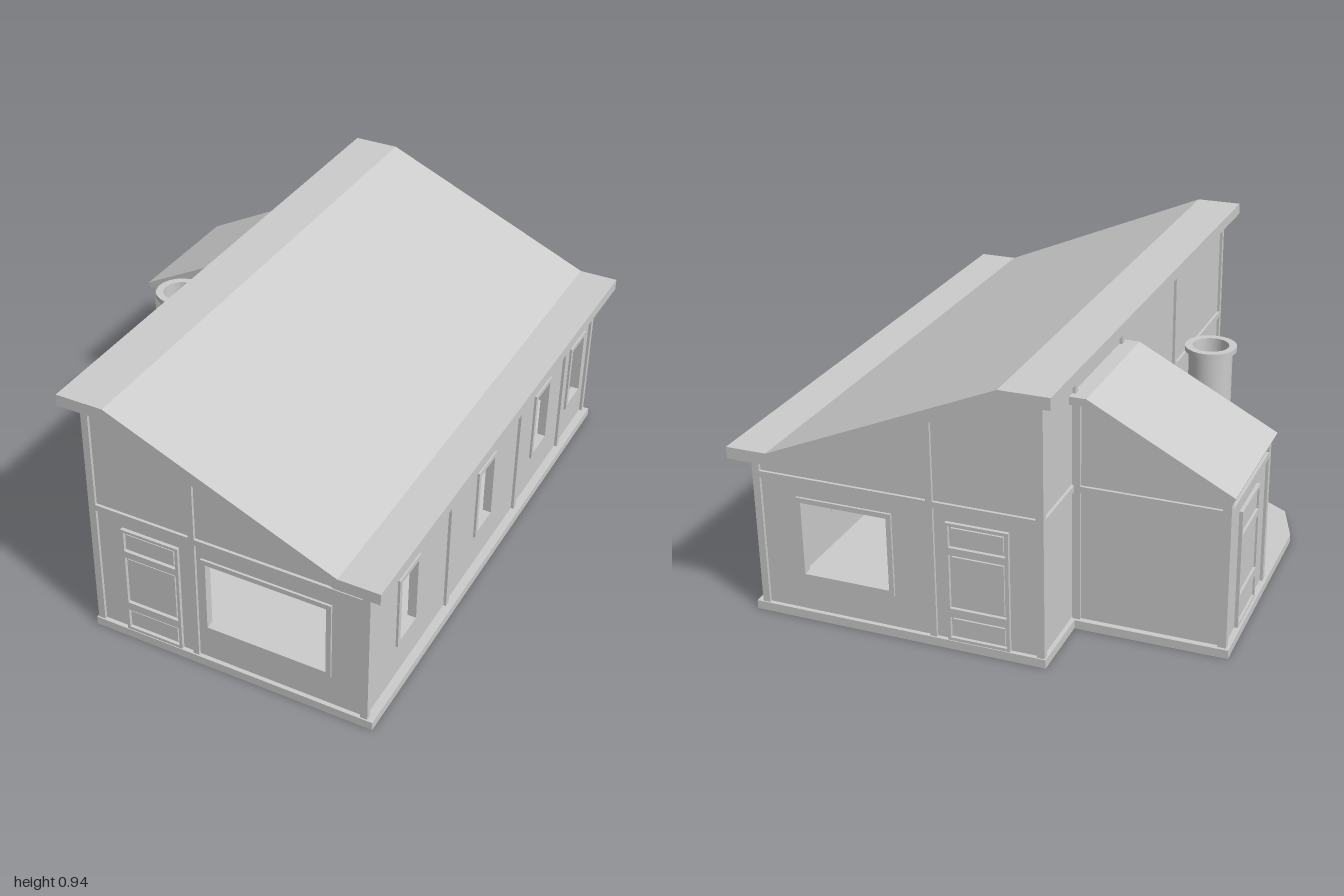
import * as THREE from 'three';
import { toCreasedNormals } from 'three/addons/utils/BufferGeometryUtils.js';

const mat = new THREE.MeshStandardMaterial({ color: 0xcccccc });
const matOpen = new THREE.MeshStandardMaterial({ color: 0xcccccc, side: THREE.DoubleSide });

const add = (parent, name, geo, m = mat) => {
  const mesh = new THREE.Mesh(geo, m);
  mesh.name = name;
  parent.add(mesh);
  return mesh;
};
const group = (parent, name) => {
  const g = new THREE.Group();
  g.name = name;
  parent.add(g);
  return g;
};
const toPath = (pts, C = THREE.Shape) => new C(pts.map(([x, y]) => new THREE.Vector2(x, y)));
const rect = ([u0, u1, y0, y1]) => [[u0, y0], [u1, y0], [u1, y1], [u0, y1]];

// Outline with rectangular holes, extruded between two depths
function slab(pts, z0, z1, holes = []) {
  const s = toPath(pts);
  holes.forEach(h => s.holes.push(toPath(rect(h), THREE.Path)));
  return new THREE.ExtrudeGeometry(s, { depth: z1 - z0, bevelEnabled: false }).translate(0, 0, z0);
}

// Raised timber strip on a wall whose outer face is local z = 0
const bar = (wall, name, r, out = 0.01) => add(wall, name, slab(rect(r), -0.01, out));

// Frame ring around an opening
function frame(wall, name, [u0, u1, y0, y1], w = 0.017) {
  add(wall, name, slab(rect([u0, u1, y0, y1]), -0.022, 0.008, [[u0 + w, u1 - w, y0 + w, y1 - w]]));
}

// Panelled door centred on u
function door(wall, u) {
  const d = group(wall, 'door');
  add(d, 'doorLeaf', slab(rect([u - 0.105, u + 0.105, 0.03, 0.445]), 0, 0.012, [
    [u - 0.095, u + 0.095, 0.04, 0.115], [u - 0.095, u + 0.095, 0.145, 0.335], [u - 0.095, u + 0.095, 0.36, 0.435]]));
  [[0.048, 0.107], [0.153, 0.327], [0.368, 0.427]].forEach(([a, b]) =>
    bar(d, 'doorPanel', [u - 0.087, u + 0.087, a, b], 0.007));
}

// Wall built in its own plane, then turned to face outward
function makeWall(parent, name, pts, windows, pos, turn) {
  const w = group(parent, name);
  add(w, name + 'Panel', slab(pts, -0.02, 0, windows.map(([a, b, c, d]) => [a + 0.005, b - 0.005, c + 0.005, d - 0.005])));
  windows.forEach(r => frame(w, 'windowFrame', r));
  w.position.set(...pos);
  w.rotation.y = turn;
  return w;
}

function mainHouse(root) {
  const g = group(root, 'mainHouse');
  const gable = [[-0.255, 0.02], [0.715, 0.02], [0.715, 0.575], [0.63, 0.575], [-0.16, 0.91], [-0.255, 0.91]];
  // Front and back gables share one layout
  for (const s of [1, -1]) {
    const flip = ([a, b, c, d]) => s > 0 ? [a, b, c, d] : [-b, -a, c, d];
    const pts = s > 0 ? gable : gable.map(([x, y]) => [-x, y]).reverse();
    const win = s > 0 ? [0.14, 0.595, 0.145, 0.435] : [0.245, 0.578, 0.145, 0.435];
    const w = makeWall(g, s > 0 ? 'frontWall' : 'backWall', pts, [flip(win)], [0, 0, 0.94 * s], s > 0 ? 0 : Math.PI);
    bar(w, 'rail', flip([-0.255, 0.715, 0.485, 0.507]));
    bar(w, 'middlePost', flip([0.1, 0.122, 0.02, 0.79]));
    bar(w, 'cornerPost', flip([-0.265, -0.24, 0.02, 0.91]));
    bar(w, 'cornerPost', flip([0.7, 0.725, 0.02, 0.575]));
    door(w, -0.045 * s);
  }
  // Long walls: windows only on the low side
  const windows = [0.6625, 0.055, -0.455, -0.805].map(z => [-z - 0.075, -z + 0.075, 0.155, 0.425]);
  const right = makeWall(g, 'lowSideWall', rect([-0.94, 0.94, 0.02, 0.575]), windows, [0.715, 0, 0], Math.PI / 2);
  const left = makeWall(g, 'highSideWall', rect([-0.94, 0.94, 0.02, 0.91]), [], [-0.255, 0, 0], -Math.PI / 2);
  [[right, -1, 0.575], [left, 1, 0.91]].forEach(([w, s, top]) => {
    bar(w, 'rail', [-0.94, 0.94, 0.485, 0.507]);
    [0.35, -0.24, -0.67].forEach(z => bar(w, 'post', [s * z - 0.011, s * z + 0.011, 0.02, top]));
    [-0.94, 0.94].forEach(u => bar(w, 'cornerPost', [u - 0.01, u + 0.01, 0.02, top]));
  });
  // Shed roof with flat eaves
  add(g, 'mainRoof', slab([[-0.31, 0.895], [-0.155, 0.895], [0.63, 0.56], [0.78, 0.56], [0.78, 0.6],
    [0.64, 0.6], [-0.145, 0.935], [-0.31, 0.935]], -1, 1));
}

function extension(root) {
  const g = group(root, 'sideRoom');
  const side = [[-0.76, 0.02], [-0.25, 0.02], [-0.25, 0.795], [-0.31, 0.795], [-0.76, 0.558]];
  for (const s of [1, -1]) {
    const flip = ([a, b, c, d]) => s > 0 ? [a, b, c, d] : [-b, -a, c, d];
    const pts = s > 0 ? side : side.map(([x, y]) => [-x, y]).reverse();
    const w = makeWall(g, s > 0 ? 'sideRoomFront' : 'sideRoomBack', pts, [], [0, 0, s > 0 ? -0.235 : -0.685], s > 0 ? 0 : Math.PI);
    bar(w, 'rail', flip([-0.76, -0.26, 0.485, 0.507]));
    bar(w, 'cornerPost', flip([-0.768, -0.742, 0.02, 0.555]));
    bar(w, 'innerPost', flip([-0.285, -0.26, 0.02, 0.79]));
  }
  const w = makeWall(g, 'sideRoomEnd', rect([-0.685, -0.235, 0.02, 0.555]), [], [-0.76, 0, 0], -Math.PI / 2);
  bar(w, 'rail', [-0.685, -0.235, 0.485, 0.507]);
  [-0.683, -0.237].forEach(u => bar(w, 'cornerPost', [u - 0.012, u + 0.012, 0.02, 0.55]));
  door(w, -0.46);
  add(g, 'sideRoomRoof', slab([[-0.775, 0.54], [-0.305, 0.785], [-0.255, 0.785], [-0.255, 0.812],
    [-0.31, 0.812], [-0.785, 0.562]], -0.71, -0.21));
}

function oven(root) {
  const g = group(root, 'oven');
  g.position.set(-0.485, 0, 0.03);
  const lathe = (name, pts) => add(g, name, toCreasedNormals(
    new THREE.LatheGeometry(pts.map(([x, y]) => new THREE.Vector2(x, y)), 28), 0.6), matOpen);
  // Drum band with a gap left for an opening
  const band = (name, y0, y1, at, half) => add(g, name, new THREE.CylinderGeometry(0.2, 0.2, y1 - y0, 28, 1, true,
    at + half, Math.PI * 2 - 2 * half).translate(0, (y0 + y1) / 2, 0), matOpen);
  lathe('ovenFoot', [[0.215, 0.025], [0.215, 0.045], [0, 0.045]]);
  band('lowerDrum', 0.045, 0.155, -Math.PI / 2, 0.31);
  band('upperDrum', 0.155, 0.32, 0, 0.5);
  lathe('hearthFloor', [[0.198, 0.155], [0, 0.155]]);
  lathe('dome', [[0.2, 0.32], [0.195, 0.338], [0.155, 0.375], [0.148, 0.4], [0.135, 0.422], [0.11, 0.438], [0.074, 0.445]]);
  lathe('chimney', [[0.074, 0.44], [0.074, 0.718], [0.088, 0.718], [0.088, 0.735], [0.062, 0.735], [0.055, 0.45], [0, 0.45]]);
  // Mouth at the front, ash opening at the side
  add(g, 'mouthFrame', slab(rect([-0.102, 0.102, 0.152, 0.32]), 0.165, 0.203, [[-0.08, 0.08, 0.178, 0.296]]));
  add(g, 'ashFrame', slab(rect([-0.065, 0.065, 0.043, 0.158]), 0.18, 0.207, [[-0.047, 0.047, 0.06, 0.142]])).rotation.y = -Math.PI / 2;
}

export function createModel() {
  const root = new THREE.Group();
  root.name = 'house';
  // Base plate with the chamfered oven terrace (outline in x, -z)
  const base = add(root, 'basePlate', slab([[-0.27, -0.955], [0.745, -0.955], [0.745, 0.955], [-0.27, 0.955],
    [-0.27, 0.705], [-0.78, 0.705], [-0.78, -0.1], [-0.72, -0.265], [-0.6, -0.345], [-0.27, -0.345]], 0, 0.03));
  base.rotation.x = -Math.PI / 2;
  mainHouse(root);
  extension(root);
  oven(root);
  return root;
}
